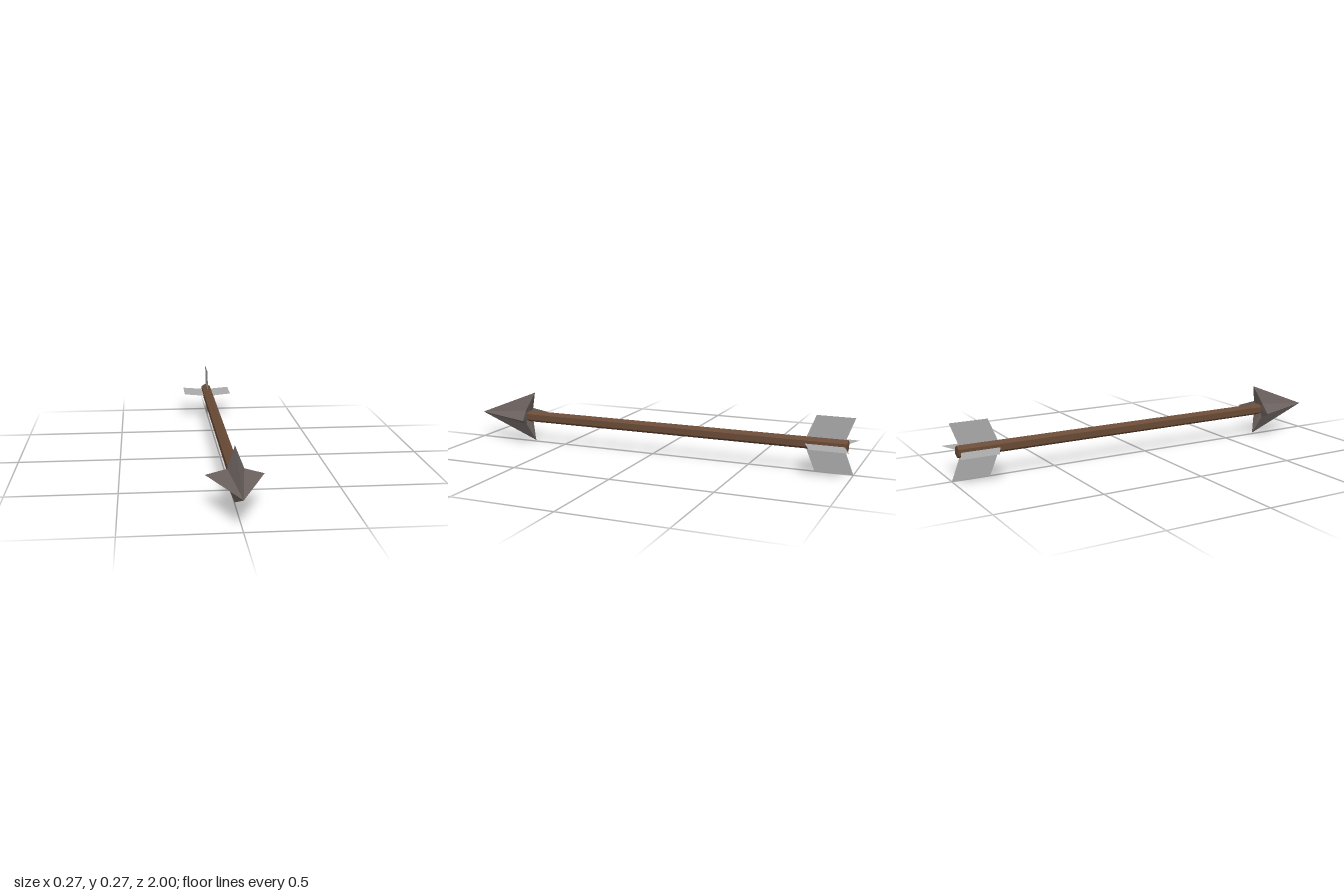
import * as THREE from 'three';

const AXIS_Y = 0.134;

const wood = new THREE.MeshStandardMaterial({ color: 0x694a36 });
wood.name = 'brown wood';
const iron = new THREE.MeshStandardMaterial({ color: 0x6b615e });
iron.name = 'dark iron';
const feather = new THREE.MeshStandardMaterial({ color: 0xaaaaaa, side: THREE.DoubleSide });
feather.name = 'grey feather';

// Splits shared corners so every face is flat shaded
function faceted(geometry) {
  const flat = geometry.index ? geometry.toNonIndexed() : geometry;
  flat.computeVertexNormals();
  return flat;
}

// Four-pointed star swept to a tip, with a hollowed back
function headGeometry() {
  const tip = [0, 0, 1];
  const back = [0, 0, 0.72];
  const ring = [];
  for (let i = 0; i < 8; i++) {
    const a = (i * Math.PI) / 4;
    const barb = i % 2 === 0;
    const r = barb ? 0.128 : 0.051;
    ring.push([Math.cos(a) * r, Math.sin(a) * r, barb ? 0.675 : 0.71]);
  }
  const points = [];
  ring.forEach((p, i) => {
    const q = ring[(i + 1) % 8];
    points.push(...tip, ...p, ...q, ...back, ...q, ...p);
  });
  const geometry = new THREE.BufferGeometry();
  geometry.setAttribute('position', new THREE.Float32BufferAttribute(points, 3));
  return faceted(geometry);
}

// Swept-back vane: shape x runs along the shaft, y outward from it
function vaneGeometry() {
  const shape = new THREE.Shape([
    new THREE.Vector2(-0.773, 0.02),
    new THREE.Vector2(-0.82, 0.134),
    new THREE.Vector2(-1, 0.134),
    new THREE.Vector2(-0.957, 0.02),
  ]);
  return new THREE.ShapeGeometry(shape).rotateY(-Math.PI / 2);
}

export function createModel() {
  const arrow = new THREE.Group();
  arrow.name = 'arrow';

  // Hexagonal shaft along z
  const shaftGeometry = new THREE.CylinderGeometry(0.029, 0.029, 1.71, 6).rotateX(Math.PI / 2);
  const shaft = new THREE.Mesh(faceted(shaftGeometry), wood);
  shaft.name = 'shaft';
  shaft.position.set(0, AXIS_Y, -0.115);
  arrow.add(shaft);

  // Barbed head
  const head = new THREE.Mesh(headGeometry(), iron);
  head.name = 'arrowhead';
  head.position.y = AXIS_Y;
  arrow.add(head);

  // Four vanes around the tail
  const fletching = new THREE.Group();
  fletching.name = 'fletching';
  fletching.position.y = AXIS_Y;
  const vane = vaneGeometry();
  ['topVane', 'rightVane', 'bottomVane', 'leftVane'].forEach((name, i) => {
    const mesh = new THREE.Mesh(vane, feather);
    mesh.name = name;
    mesh.rotation.z = (i * Math.PI) / 2;
    fletching.add(mesh);
  });
  arrow.add(fletching);

  return arrow;
}
